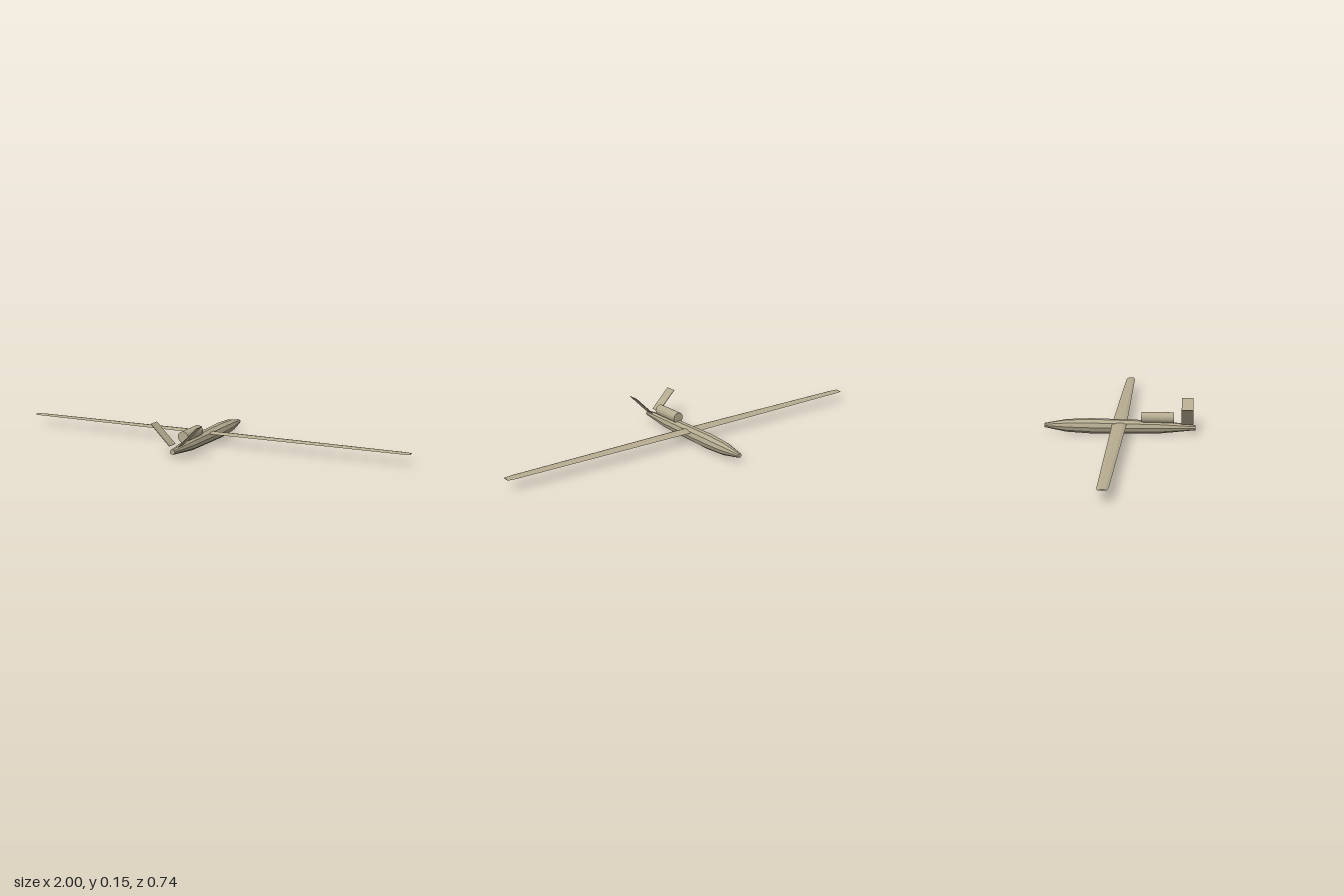
import * as THREE from 'three';

const material = new THREE.MeshStandardMaterial({ color: 0xb5ab90, flatShading: true });
const smoothMaterial = new THREE.MeshStandardMaterial({ color: 0xb5ab90 });

function addPart(parent, name, geometry, mat = material) {
  const mesh = new THREE.Mesh(geometry, mat);
  mesh.name = name;
  parent.add(mesh);
  return mesh;
}

// Wing lofted along x from a four-point airfoil: [x, chord start z, chord end z, thickness]
function wingGeometry(stations) {
  const profile = [[0, 0], [0.4, 1], [0.78, 1], [1, 0]];
  const n = profile.length;
  const positions = [];
  const indices = [];
  stations.forEach(([x, z0, z1, t]) => {
    for (const [u, v] of profile) positions.push(x, 0.0525 + v * t, z0 + u * (z1 - z0));
  });
  for (let i = 0; i < stations.length - 1; i++) {
    for (let j = 0; j < n; j++) {
      const k = (j + 1) % n;
      const a = i * n + j, b = i * n + k, c = a + n, d = b + n;
      indices.push(a, b, d, a, d, c);
    }
  }
  const e = (stations.length - 1) * n;
  indices.push(0, 2, 1, 0, 3, 2, e, e + 1, e + 2, e, e + 2, e + 3);
  const geometry = new THREE.BufferGeometry();
  geometry.setAttribute('position', new THREE.Float32BufferAttribute(positions, 3));
  geometry.setIndex(indices);
  geometry.computeVertexNormals();
  return geometry;
}

export function createModel() {
  const model = new THREE.Group();
  model.name = 'aircraft';

  // Ten-sided fuselage, nose towards -z
  const outline = [
    [0, -0.368], [0.0105, -0.368], [0.031, -0.26], [0.0373, -0.14],
    [0.0317, 0.19], [0.0125, 0.368], [0, 0.368],
  ].map(([r, z]) => new THREE.Vector2(r, z));
  const body = new THREE.LatheGeometry(outline, 10, Math.PI / 2);
  body.rotateX(Math.PI / 2);
  addPart(model, 'fuselage', body).position.y = 0.0355;

  // Long tapered wing with clipped tips
  addPart(model, 'wing', wingGeometry([
    [-1, -0.021, 0.018, 0.004],
    [-0.96, -0.026, 0.023, 0.0045],
    [0, -0.036, 0.035, 0.006],
    [0.96, -0.026, 0.023, 0.0045],
    [1, -0.021, 0.018, 0.004],
  ]));

  // Engine pod on the rear back
  const pod = new THREE.CylinderGeometry(0.0265, 0.0265, 0.157, 20);
  pod.rotateX(Math.PI / 2);
  addPart(model, 'enginePod', pod, smoothMaterial).position.set(0, 0.083, 0.184);

  // V-tail fins, tilted 45 degrees
  for (const side of [1, -1]) {
    const fin = addPart(model, side > 0 ? 'leftTailFin' : 'rightTailFin',
      new THREE.BoxGeometry(0.135, 0.003, 0.057));
    fin.position.set(side * 0.069, 0.105, 0.328);
    fin.rotation.z = side * Math.PI / 4;
  }

  return model;
}
